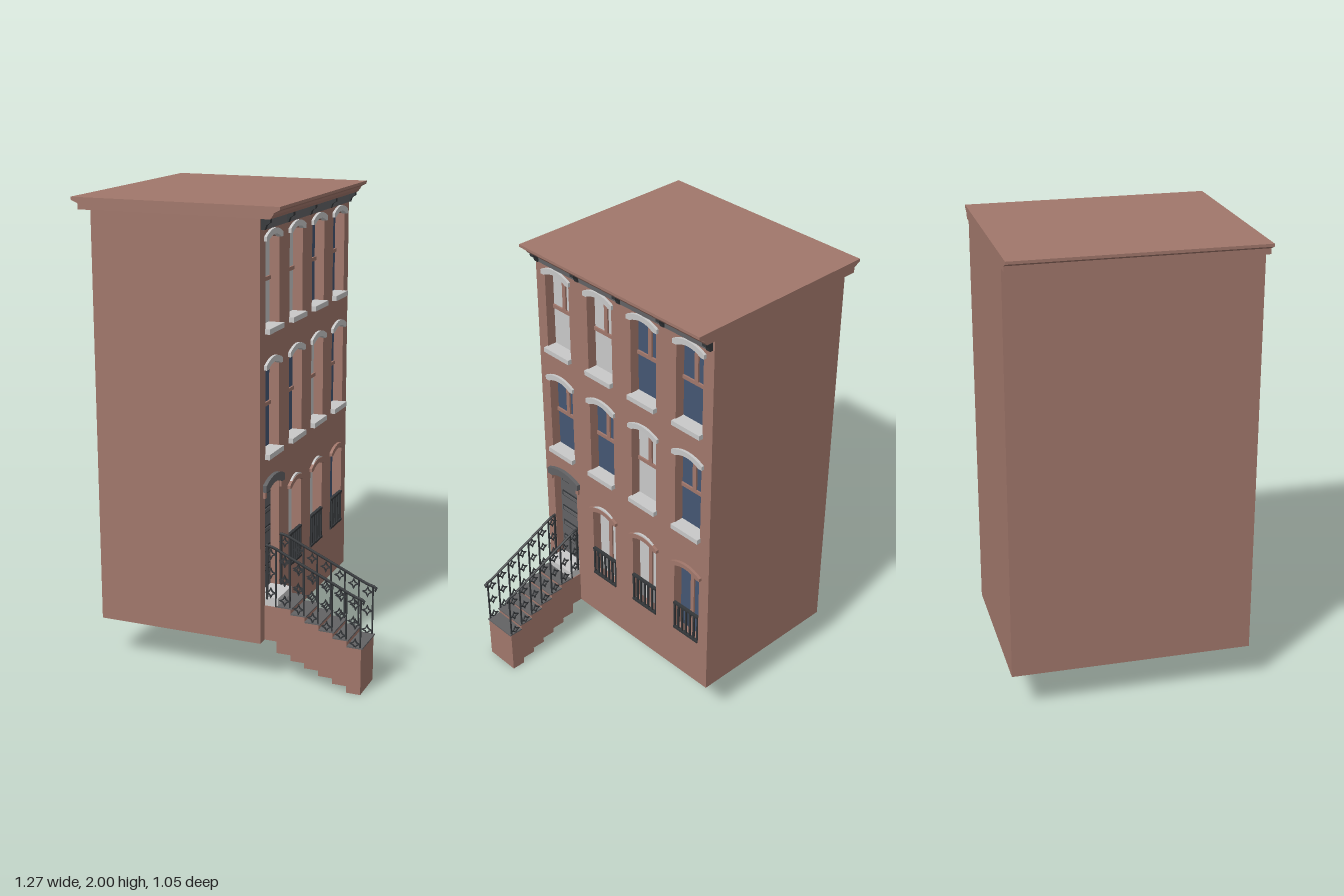
import * as THREE from 'three';

const mat = (name, color) => Object.assign(new THREE.MeshStandardMaterial({ color }), { name });

export function createModel() {
  const brown = mat('brownstone', 0xa1776b);
  const light = mat('pale stone', 0xc8c8c8);
  const navy = mat('dark glass', 0x455673);
  const blind = mat('light glass', 0xc9c9c9);
  const grey = mat('grey paint', 0x626264);
  const iron = mat('wrought iron', 0x34373a);

  const model = new THREE.Group();
  model.name = 'townhouse';
  const group = (name, parent = model) => {
    const g = new THREE.Group();
    g.name = name;
    parent.add(g);
    return g;
  };
  const add = (parent, name, geo, material) => {
    const m = new THREE.Mesh(geo, material);
    m.name = name;
    parent.add(m);
    return m;
  };
  // Box given by its limits on each axis
  const box = (parent, name, material, x0, x1, y0, y1, z0, z1) => {
    const m = add(parent, name, new THREE.BoxGeometry(x1 - x0, y1 - y0, z1 - z0), material);
    m.position.set((x0 + x1) / 2, (y0 + y1) / 2, (z0 + z1) / 2);
    return m;
  };
  const extrude = (shape, depth) =>
    new THREE.ExtrudeGeometry(shape, { depth, bevelEnabled: false, curveSegments: 8 });
  const polygon = pts => new THREE.Shape(pts.map(p => new THREE.Vector2(...p)));
  // Street-facing plate: shape x runs along -z, extruded from x0 towards +x
  const facing = (parent, name, material, shape, x0, x1, z = 0) => {
    const m = add(parent, name, extrude(shape, x1 - x0).rotateY(Math.PI / 2), material);
    m.position.set(x0, 0, z);
    return m;
  };

  const FRONT = 0.19, BACK = 0.14;
  const cols = [0.395, 0.132, -0.131, -0.394];
  const rows = [
    { y0: 0.41, top: 0.787, glass: [null, blind, blind, navy] },
    { y0: 0.985, top: 1.36, glass: [navy, navy, blind, navy] },
    { y0: 1.505, top: 1.877, glass: [blind, blind, navy, navy] },
  ];

  // Opening with a shallow arched head, centred on u
  const opening = (u, y0, top, w = 0.075, Type = THREE.Shape) => {
    const s = new Type();
    s.moveTo(u - w, y0);
    s.lineTo(u + w, y0);
    s.lineTo(u + w, top - 0.02);
    s.quadraticCurveTo(u, top + 0.02, u - w, top - 0.02);
    s.closePath();
    return s;
  };
  // Curved hood over an opening
  const hood = (top, w, inner, h) => {
    const s = new THREE.Shape();
    s.moveTo(-w, top - 0.02);
    s.lineTo(-inner, top - 0.02);
    s.quadraticCurveTo(0, top + 0.02, inner, top - 0.02);
    s.lineTo(w, top - 0.02);
    s.lineTo(w, top + h - 0.025);
    s.quadraticCurveTo(0, top + h + 0.025, -w, top + h - 0.025);
    s.closePath();
    return s;
  };

  // Building block and the pierced street wall
  const building = group('building');
  box(building, 'mainBlock', brown, -0.553, BACK, 0.177, 1.95, -0.525, 0.525);
  const wall = polygon([[-0.525, 0.177], [0.525, 0.177], [0.525, 1.95], [-0.525, 1.95]]);
  rows.forEach(r => cols.forEach((z, i) => {
    if (r.glass[i]) wall.holes.push(opening(-z, r.y0, r.top, 0.075, THREE.Path));
  }));
  wall.holes.push(opening(-cols[0], 0.335, 0.85, 0.078, THREE.Path));
  facing(building, 'streetWall', brown, wall, BACK, FRONT);

  // Cornice profile run along the depth of the house
  const cornice = add(building, 'cornice', extrude(polygon([
    [-0.611, 1.95], [0.232, 1.95], [0.244, 1.965], [0.248, 1.975], [0.273, 1.988], [0.273, 2],
    [-0.643, 2], [-0.643, 1.988], [-0.611, 1.974],
  ]), 1.05), brown);
  cornice.position.z = -0.525;

  // Frieze with brackets below the cornice
  box(building, 'frieze', grey, FRONT, 0.2, 1.905, 1.95, -0.51, 0.51);
  const bracketShape = polygon([[0.19, 1.906], [0.205, 1.906], [0.212, 1.925], [0.228, 1.935], [0.228, 1.95], [0.19, 1.95]]);
  for (let i = 0; i < 5; i++) {
    const b = add(building, 'bracket', extrude(bracketShape, 0.02), iron);
    b.position.z = -0.515 + i * 0.2525;
  }

  // Windows
  rows.forEach((r, ri) => cols.forEach((z, i) => {
    if (!r.glass[i]) return;
    const w = group('window');
    facing(w, 'pane', r.glass[i], opening(0, r.y0, r.top), BACK, BACK + 0.006, z);
    const mid = r.y0 + 0.185;
    box(w, 'mullion', brown, BACK, BACK + 0.014, ri ? mid : r.y0, r.top, z - 0.01, z + 0.01);
    if (ri) {
      box(w, 'meetingRail', brown, BACK, BACK + 0.014, mid - 0.008, mid + 0.008, z - 0.075, z + 0.075);
      box(w, 'sill', light, BACK, 0.211, r.y0 - 0.02, r.y0 + 0.002, z - 0.079, z + 0.079);
      facing(w, 'hood', light, hood(r.top, 0.088, 0.068, 0.024), FRONT - 0.01, 0.202, z);
    } else {
      facing(w, 'hood', brown, hood(r.top - 0.002, 0.088, 0.068, 0.02), FRONT - 0.01, 0.203, z);
      if (i < 3) facing(w, 'hoodCap', light, hood(r.top + 0.012, 0.068, 0.06, 0.014), FRONT - 0.01, 0.2, z);
      // Iron window guard
      for (const y of [0.412, 0.55])
        box(w, 'guardRail', iron, 0.182, 0.196, y - 0.005, y + 0.005, z - 0.075, z + 0.075);
      for (let k = 0; k < 7; k++) {
        const bz = z - 0.071 + k * 0.142 / 6;
        box(w, 'guardBar', iron, 0.185, 0.193, 0.41, 0.55, bz - 0.004, bz + 0.004);
      }
    }
  }));

  // Entrance door with raised panels, hood and threshold
  const door = group('entrance');
  const dz = cols[0];
  facing(door, 'door', grey, opening(0, 0.36, 0.85, 0.078), BACK, BACK + 0.012, dz);
  for (let i = 0; i < 5; i++) {
    const y = 0.46 + i * 0.085;
    box(door, 'panelFrame', iron, BACK, 0.156, y - 0.014, y + 0.014, dz - 0.064, dz + 0.064);
    box(door, 'panel', grey, BACK, 0.159, y - 0.008, y + 0.008, dz - 0.056, dz + 0.056);
  }
  facing(door, 'doorHood', grey, hood(0.852, 0.102, 0.075, 0.034), FRONT - 0.01, 0.207, dz);
  for (const s of [-1, 1])
    box(door, 'corbel', brown, FRONT, 0.2, 0.805, 0.832, dz + s * 0.09 - 0.009, dz + s * 0.09 + 0.009);
  box(door, 'threshold', light, BACK, 0.248, 0.325, 0.368, dz - 0.078, dz + 0.078);

  // Stoop: stepped above and below, with thin grey treads
  const stoop = group('stoop');
  const xs = [0.19, 0.244, 0.306, 0.368, 0.43, 0.492, 0.554, 0.616];
  const tops = [0.33, 0.33, 0.305, 0.28, 0.255, 0.23, 0.203];
  const bottoms = [0.177, 0.125, 0.1, 0.077, 0.053, 0.029, 0];
  const profile = [];
  for (let i = 0; i < 7; i++) profile.push([xs[i], bottoms[i]], [xs[i + 1], bottoms[i]]);
  for (let i = 6; i >= 0; i--) profile.push([xs[i + 1], tops[i]], [xs[i], tops[i]]);
  add(stoop, 'steps', extrude(polygon(profile), 0.164), brown).position.z = dz - 0.082;
  for (let i = 1; i < 7; i++)
    box(stoop, 'tread', grey, xs[i], xs[i + 1] + 0.006, tops[i], tops[i] + 0.006, dz - 0.082, dz + 0.082);

  // Four-pointed open star used in the railings
  const starPath = (r, Type) => {
    const p = new Type();
    p.moveTo(r, 0);
    for (let k = 1; k <= 8; k++) {
      const a = k * Math.PI / 4, d = k % 2 ? r * 0.45 : r;
      p.lineTo(d * Math.cos(a), d * Math.sin(a));
    }
    return p;
  };
  const starShape = starPath(0.025, THREE.Shape);
  starShape.holes.push(starPath(0.015, THREE.Path));
  const starGeo = extrude(starShape, 0.006).translate(0, 0, -0.003);

  const railY = x => 0.6 - Math.max(0, x - 0.205) * 0.45;
  const railCurve = new THREE.CatmullRomCurve3([
    [0.195, 0.597], [0.22, 0.593], [0.3, railY(0.3)], [0.45, railY(0.45)],
    [0.59, railY(0.59)], [0.62, 0.418], [0.628, 0.408], [0.62, 0.402],
  ].map(([x, y]) => new THREE.Vector3(x, y, 0)));
  for (const s of [-1, 1]) {
    const railing = group('railing', stoop);
    railing.position.z = dz + s * 0.078;
    add(railing, 'handrail', new THREE.TubeGeometry(railCurve, 32, 0.006, 6), iron);
    for (let i = 0; i < 7; i++) {
      const x = 0.216 + i * 0.062, y = railY(x);
      for (const drop of [0.034, 0.118, 0.205])
        add(railing, 'star', starGeo, iron).position.set(x, y - drop, 0);
      const bx = xs[i + 1] - 0.005;
      box(railing, 'baluster', iron, bx - 0.003, bx + 0.003, tops[i], railY(bx), -0.003, 0.003);
    }
    box(railing, 'newel', iron, 0.196, 0.204, 0.36, 0.597, -0.004, 0.004);
  }
  return model;
}
